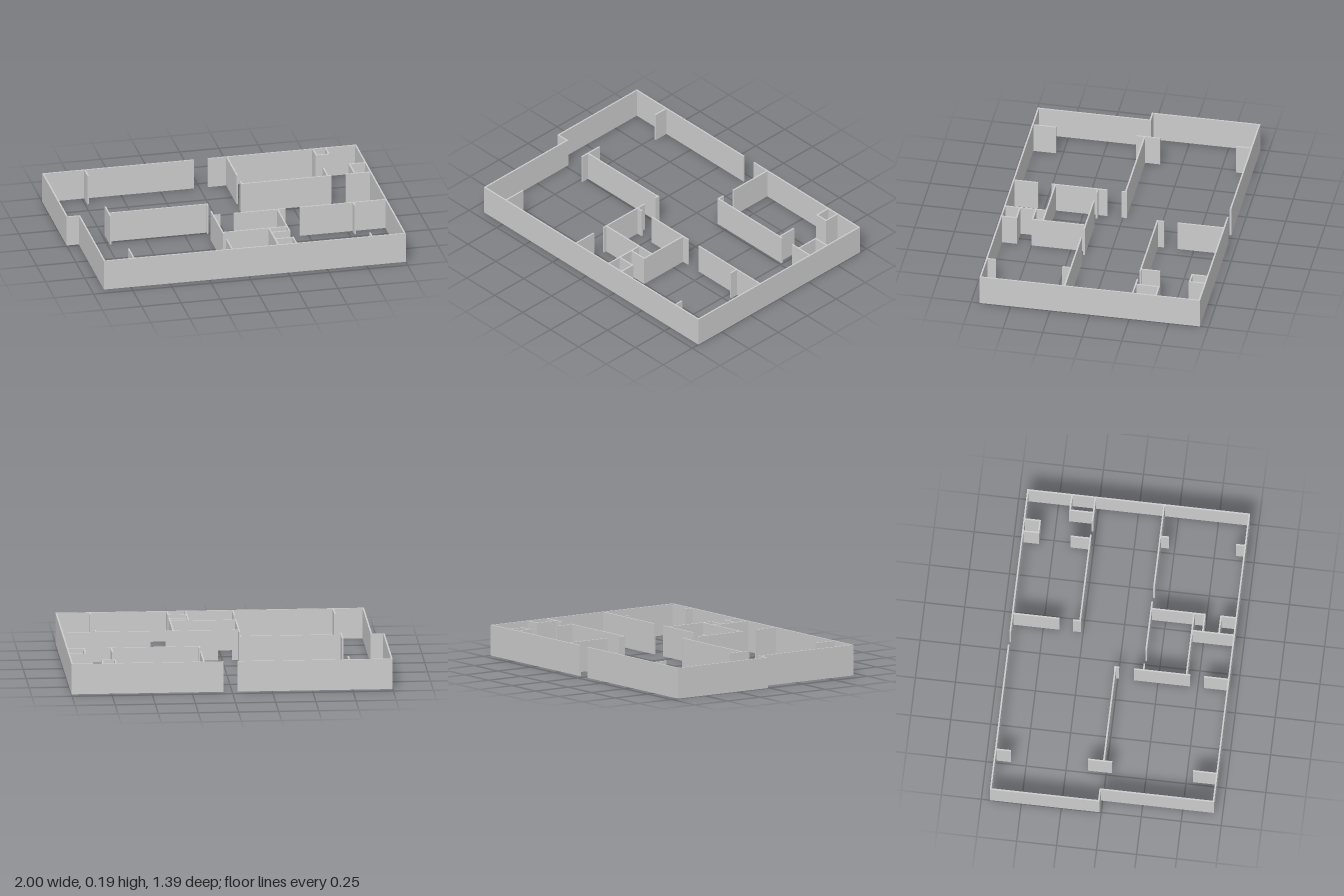
import * as THREE from 'three';

const HEIGHT = 0.193;
const THICK = 0.01;

export function createModel() {
  const model = new THREE.Group();
  model.name = 'floorPlanWalls';
  const material = new THREE.MeshStandardMaterial({ color: 0xcccccc, flatShading: true });

  function addBox(group, name, x0, x1, z0, z1) {
    const mesh = new THREE.Mesh(new THREE.BoxGeometry(x1 - x0, HEIGHT, z1 - z0), material);
    mesh.position.set((x0 + x1) / 2, HEIGHT / 2, (z0 + z1) / 2);
    mesh.name = name;
    group.add(mesh);
  }
  // Wall running along x at depth z, one box per span between door openings
  function wallX(group, name, z, ...spans) {
    for (const [a, b] of spans) addBox(group, name, a, b, z - THICK / 2, z + THICK / 2);
  }
  // Wall running along z at position x
  function wallZ(group, name, x, ...spans) {
    for (const [a, b] of spans) addBox(group, name, x - THICK / 2, x + THICK / 2, a, b);
  }
  function section(name) {
    const group = new THREE.Group();
    group.name = name;
    model.add(group);
    return group;
  }

  // Outer shell, with the entrance gap at the back and the jog on the right side
  const outer = section('outerWalls');
  wallX(outer, 'backWall', -0.692, [-1, -0.035], [0.053, 1]);
  wallX(outer, 'frontWall', 0.692, [-0.922, 1]);
  wallZ(outer, 'leftWall', 0.995, [-0.697, 0.697]);
  wallZ(outer, 'rightWallBack', -0.995, [-0.697, -0.011]);
  wallX(outer, 'rightWallJog', -0.016, [-1, -0.912]);
  wallZ(outer, 'rightWallFront', -0.917, [-0.021, 0.697]);

  // Rooms on the right half
  const right = section('rightRooms');
  wallZ(right, 'corridorStub', -0.73, [-0.697, -0.596], [-0.115, 0.037], [0.543, 0.697]);
  wallX(right, 'middleWall', -0.016, [-0.73, -0.1]);
  wallZ(right, 'centreWall', -0.104, [-0.024, 0.008], [0.099, 0.452], [0.537, 0.697]);

  // Rooms at the front left, with the small closets
  const front = section('frontRooms');
  wallX(front, 'hallWall', 0.16, [-0.104, -0.061], [0.027, 0.353], [0.447, 1]);
  wallZ(front, 'bathWall', 0.305, [0.16, 0.5], [0.591, 0.697]);
  wallX(front, 'bathFrontWall', 0.428, [-0.104, 0.307]);
  wallZ(front, 'closetWall', 0.19, [0.425, 0.697]);
  wallX(front, 'closetPartition', 0.495, [0.19, 0.31]);
  wallX(front, 'closetPartition', 0.596, [0.19, 0.31]);
  wallZ(front, 'bedroomStub', 0.786, [0.16, 0.214], [0.634, 0.697]);

  // Rooms at the back left, with the shaft and corner cupboard
  const back = section('backRooms');
  wallZ(back, 'entryWall', 0.174, [-0.697, -0.398], [-0.313, -0.265]);
  wallX(back, 'kitchenWall', -0.27, [0.169, 0.746], [0.837, 1]);
  wallZ(back, 'kitchenSideWall', 0.722, [-0.697, -0.589], [-0.393, -0.265]);
  wallX(back, 'shaftFront', -0.594, [0.717, 0.805]);
  wallZ(back, 'shaftSide', 0.802, [-0.697, -0.589]);
  wallZ(back, 'cupboardSide', 0.893, [-0.42, -0.265]);
  wallX(back, 'cupboardBack', -0.417, [0.888, 1]);

  return model;
}
